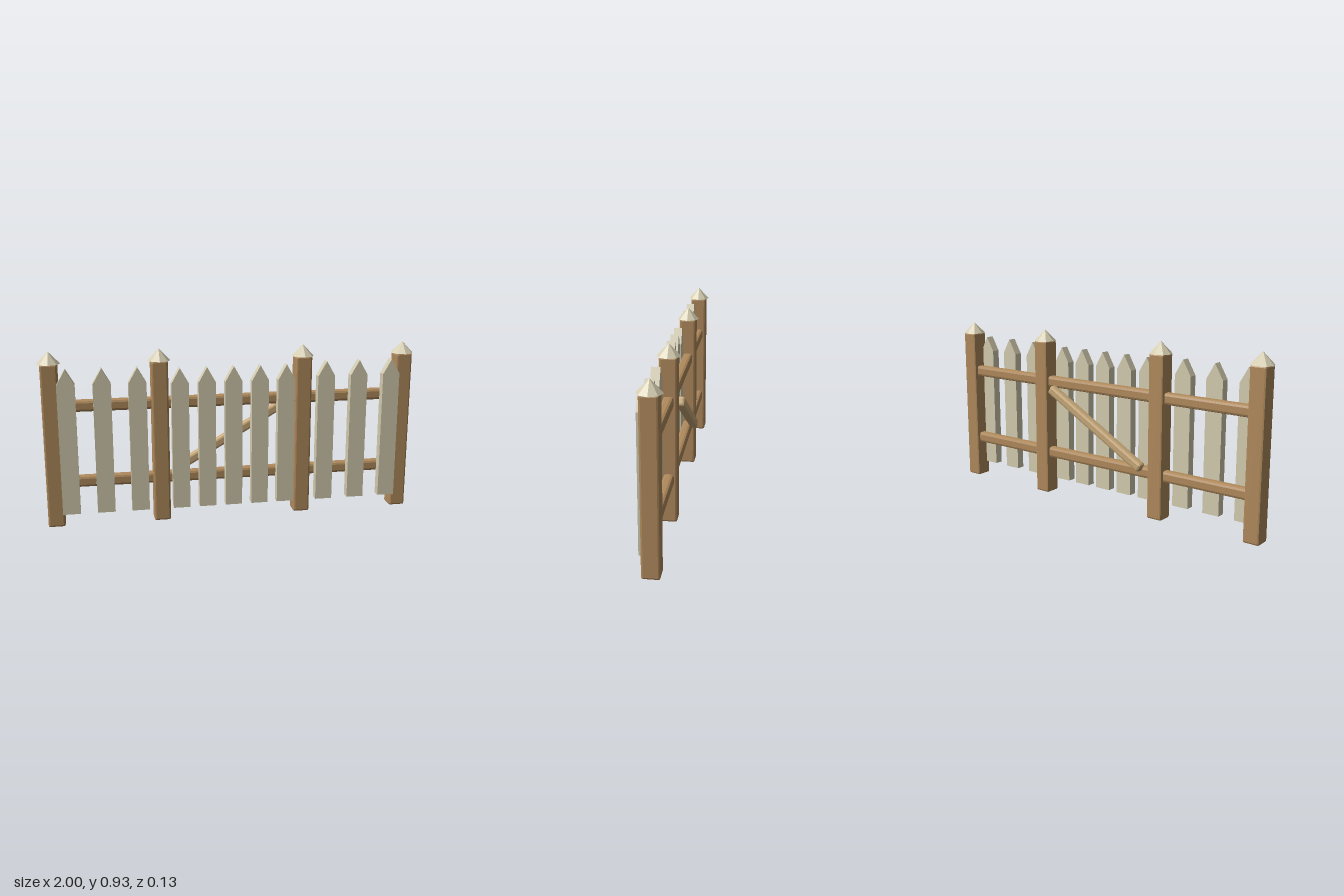
import * as THREE from 'three';
import { RoundedBoxGeometry } from 'three/addons/geometries/RoundedBoxGeometry.js';

const material = (color) =>
  new THREE.MeshStandardMaterial({ color, flatShading: true });

export function createModel() {
  const fence = new THREE.Group();
  fence.name = 'picketFenceWithGate';

  const wood = material(0xb08a5c);
  const paleWood = material(0xc8a878);
  const paint = material(0xd4ccb0);

  function add(name, geometry, mat, x, y, z) {
    const mesh = new THREE.Mesh(geometry, mat);
    mesh.name = name;
    mesh.position.set(x, y, z);
    fence.add(mesh);
    return mesh;
  }

  // Pointed board standing on its lower edge, with its back at z = 0
  function picketGeometry(width, shoulder, tip) {
    const w = width / 2;
    const outline = new THREE.Shape([
      new THREE.Vector2(-w, 0),
      new THREE.Vector2(w, 0),
      new THREE.Vector2(w, shoulder),
      new THREE.Vector2(0, tip),
      new THREE.Vector2(-w, shoulder),
    ]);
    return new THREE.ExtrudeGeometry(outline, { depth: 0.045, bevelEnabled: false });
  }

  // Posts with eight-sided caps
  const postGeometry = new RoundedBoxGeometry(0.088, 0.865, 0.088, 1, 0.01);
  const capGeometry = new THREE.ConeGeometry(0.06, 0.063, 8);
  for (const x of [-0.94, -0.383, 0.383, 0.94]) {
    add('post', postGeometry, wood, x, 0.4325, 0);
    add('postCap', capGeometry, paint, x, 0.8935, 0);
  }

  // Upper and lower rails of the two side panels and the gate
  const sideRail = new RoundedBoxGeometry(0.557, 0.06, 0.052, 1, 0.014);
  const gateRail = new RoundedBoxGeometry(0.72, 0.06, 0.052, 1, 0.014);
  for (const y of [0.235, 0.64]) {
    add('rightRail', sideRail, wood, -0.6615, y, -0.002);
    add('leftRail', sideRail, wood, 0.6615, y, -0.002);
    add('gateRail', gateRail, wood, 0, y, -0.002);
  }

  // Side panel pickets
  const sidePicket = picketGeometry(0.092, 0.685, 0.765);
  for (const side of [-1, 1]) {
    for (let i = 0; i < 3; i++) {
      add('sidePicket', sidePicket, paint, side * (0.5 + 0.18 * i), 0.075, 0.022);
    }
  }

  // Gate pickets
  const gatePicket = picketGeometry(0.09, 0.675, 0.755);
  for (let i = -2; i <= 2; i++) {
    add('gatePicket', gatePicket, paint, i * 0.141, 0.075, 0.022);
  }

  // Diagonal brace on the back of the gate
  const brace = add('gateBrace', new RoundedBoxGeometry(0.7, 0.05, 0.045, 1, 0.012),
    paleWood, 0, 0.435, -0.0445);
  brace.rotation.z = 0.518;

  return fence;
}
